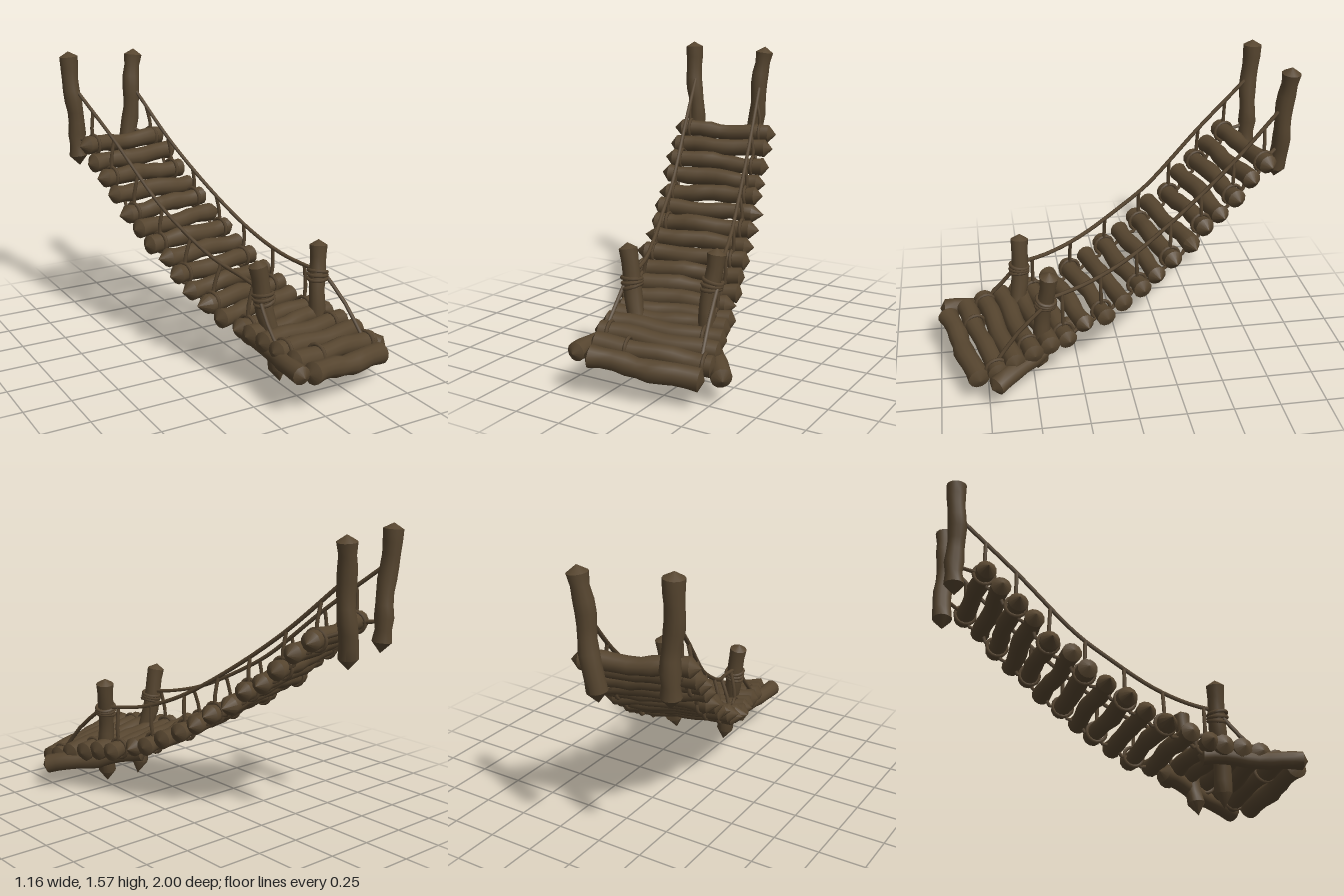
import * as THREE from 'three';
import { toCreasedNormals } from 'three/addons/utils/BufferGeometryUtils.js';

const V = (x, y, z) => new THREE.Vector3(x, y, z);
const UP = V(0, 1, 0);

export function createModel() {
  const group = new THREE.Group();
  const wood = new THREE.MeshStandardMaterial({ color: 0x56452f });
  const ropeMat = new THREE.MeshStandardMaterial({ color: 0x55442f });

  let seed = 7;
  const rand = () => (seed = (seed * 16807) % 2147483647) / 2147483647;

  const add = (name, geometry, material) => {
    const mesh = new THREE.Mesh(geometry, material);
    mesh.name = name;
    group.add(mesh);
    return mesh;
  };

  // Knobbly log from a to b, with a pointed tip at each end
  function log(name, a, b, r, tipA = 0.03, tipB = 0.03, bend = 0.008) {
    const length = a.distanceTo(b);
    const steps = 9;
    const profile = [new THREE.Vector2(0, 0)];
    for (let i = 0; i <= steps; i++) {
      const flare = i === 0 || i === steps ? 1.05 : 0.87 + rand() * 0.18;
      profile.push(new THREE.Vector2(r * flare, tipA + (length - tipA - tipB) * i / steps));
    }
    profile.push(new THREE.Vector2(0, length));
    const geo = new THREE.LatheGeometry(profile, 12);
    const pos = geo.attributes.position;
    const p1 = rand() * 6, p2 = rand() * 6;
    for (let i = 0; i < pos.count; i++) {
      const t = pos.getY(i) / length;
      const fade = Math.sin(Math.PI * t) * bend;
      pos.setX(i, pos.getX(i) + fade * Math.sin(t * 9 + p1));
      pos.setZ(i, pos.getZ(i) + fade * Math.sin(t * 8 + p2));
    }
    const mesh = add(name, toCreasedNormals(geo, 0.7), wood);
    mesh.position.copy(a);
    mesh.quaternion.setFromUnitVectors(UP, b.clone().sub(a).normalize());
  }

  // Rope through points
  function rope(name, points, r = 0.011, segments = 4) {
    const curve = new THREE.CatmullRomCurve3(points);
    add(name, new THREE.TubeGeometry(curve, segments, r, 6), ropeMat);
    return curve;
  }

  // Rope ring around a log running along dir
  function ring(name, center, dir, radius) {
    const mesh = add(name, new THREE.TorusGeometry(radius, 0.01, 6, 16), ropeMat);
    mesh.position.copy(center);
    mesh.quaternion.setFromUnitVectors(V(0, 0, 1), dir.clone().normalize());
  }

  // Posts: bottom, top
  const backRight = [V(-0.49, 0.91, -0.835), V(-0.526, 1.57, -0.86)];
  const backLeft = [V(-0.155, 0.89, -0.92), V(-0.08, 1.55, -0.952)];
  const frontRight = [V(0.015, 0, 0.57), V(-0.105, 0.665, 0.525)];
  const frontLeft = [V(0.295, 0.045, 0.48), V(0.35, 0.67, 0.405)];
  log('backRightPost', ...backRight, 0.05, 0.06, 0.03);
  log('backLeftPost', ...backLeft, 0.05, 0.06, 0.035);
  log('frontRightPost', ...frontRight, 0.046, 0.08, 0.03);
  log('frontLeftPost', ...frontLeft, 0.046, 0.07, 0.03);

  // Hanging deck: each plank lies across a sagging centre line
  const deckLine = new THREE.CatmullRomCurve3([
    V(-0.245, 1.05, -0.755), V(-0.215, 0.945, -0.64), V(-0.18, 0.83, -0.52),
    V(-0.11, 0.64, -0.29), V(-0.04, 0.485, -0.05), V(0.0, 0.385, 0.125),
    V(0.05, 0.325, 0.28), V(0.09, 0.29, 0.4),
  ]);
  const planks = [];
  const count = 13;
  for (let i = 0; i < count; i++) {
    const c = deckLine.getPointAt(i / (count - 1));
    const tilt = (rand() - 0.5) * 0.03;
    const yaw = 0.08 + (rand() - 0.5) * 0.02;
    const a = V(c.x - 0.305 - rand() * 0.02, c.y + tilt, c.z + yaw);
    const b = V(c.x + 0.295 + rand() * 0.025, c.y - tilt - 0.01, c.z - yaw);
    log('deckPlank', a, b, 0.05, 0.025 + rand() * 0.045, 0.025 + rand() * 0.045);
    planks.push([a, b]);
  }

  // Landing: planks resting on two bearer logs
  const landing = [
    [V(-0.19, 0.285, 0.56), V(0.43, 0.26, 0.41)],
    [V(-0.17, 0.28, 0.66), V(0.46, 0.235, 0.5)],
    [V(-0.15, 0.265, 0.755), V(0.49, 0.21, 0.6)],
    [V(-0.11, 0.245, 0.85), V(0.51, 0.175, 0.69)],
    [V(-0.07, 0.215, 0.955), V(0.5, 0.14, 0.79)],
  ];
  landing.forEach(([a, b], i) => log('landingPlank', a, b, i === 4 ? 0.055 : 0.052, 0.03, 0.025));
  log('rightBearer', V(-0.115, 0.22, 0.99), V(-0.1, 0.24, 0.42), 0.046);
  log('leftBearer', V(0.565, 0.13, 0.735), V(0.18, 0.25, 0.26), 0.05);

  // Hand ropes, sagging from back posts to front posts
  const rightRope = rope('rightHandRope', [
    V(-0.5, 1.36, -0.84), V(-0.4, 1.11, -0.54), V(-0.295, 0.82, -0.22),
    V(-0.245, 0.71, -0.05), V(-0.165, 0.585, 0.19), V(-0.1, 0.53, 0.38), V(-0.075, 0.5, 0.54),
  ], 0.011, 32);
  const leftRope = rope('leftHandRope', [
    V(-0.1, 1.33, -0.93), V(0.0, 1.03, -0.61), V(0.115, 0.765, -0.26),
    V(0.195, 0.62, -0.02), V(0.26, 0.54, 0.19), V(0.335, 0.5, 0.42),
  ], 0.011, 32);

  // Hangers tie the hand ropes to every other plank, with a ring around it
  const hang = (curve, side) => {
    const samples = curve.getPoints(100);
    planks.forEach(([a, b], i) => {
      const p = a.clone().lerp(b, 0.5 + side * 0.34);
      if (i % 2 === 0) {
        const near = samples.reduce((m, s) => (Math.abs(s.z - p.z) < Math.abs(m.z - p.z) ? s : m));
        rope('hanger', [near, near.clone().lerp(p, 0.5).add(V(side * 0.01, 0, 0)), p], 0.01);
        ring('plankTie', p, b.clone().sub(a), 0.055);
      }
      // side lashing to the next plank
      const next = planks[i + 1];
      if (next) {
        const q = next[0].clone().lerp(next[1], 0.5 + side * 0.34);
        const mid = p.clone().lerp(q, 0.5).add(V(0, -0.035, -0.015));
        rope('plankLashing', [p, mid, q], 0.01);
      }
    });
  };
  hang(rightRope, -1);
  hang(leftRope, 1);

  // Deck ties from the back posts to the top plank
  const [topA, topB] = planks[0];
  rope('deckTie', [backRight[0].clone().lerp(backRight[1], 0.25), topA.clone().lerp(topB, 0.16)]);
  rope('deckTie', [backLeft[0].clone().lerp(backLeft[1], 0.3), topA.clone().lerp(topB, 0.84)]);

  // Rope wraps on the front posts
  for (const [foot, top] of [frontRight, frontLeft]) {
    const dir = top.clone().sub(foot);
    for (let i = 0; i < 3; i++) {
      const lean = V((i - 1) * 0.15, 0, 0.1 - i * 0.1);
      ring('postWrap', foot.clone().addScaledVector(dir, 0.67 + i * 0.03), dir.clone().normalize().add(lean), 0.05);
    }
  }

  // Stay ropes from the front posts down to the landing
  rope('stayRope', [V(-0.1, 0.47, 0.55), V(-0.105, 0.37, 0.63), V(-0.1, 0.26, 0.74)]);
  rope('stayRope', [V(0.37, 0.49, 0.43), V(0.405, 0.36, 0.58), V(0.435, 0.2, 0.71)]);

  // Ties on the landing planks
  [[1, 0.82], [2, 0.12], [3, 0.3], [3, 0.9]].forEach(([i, t]) => {
    const [a, b] = landing[i];
    ring('landingTie', a.clone().lerp(b, t), b.clone().sub(a), 0.055);
  });

  return group;
}
